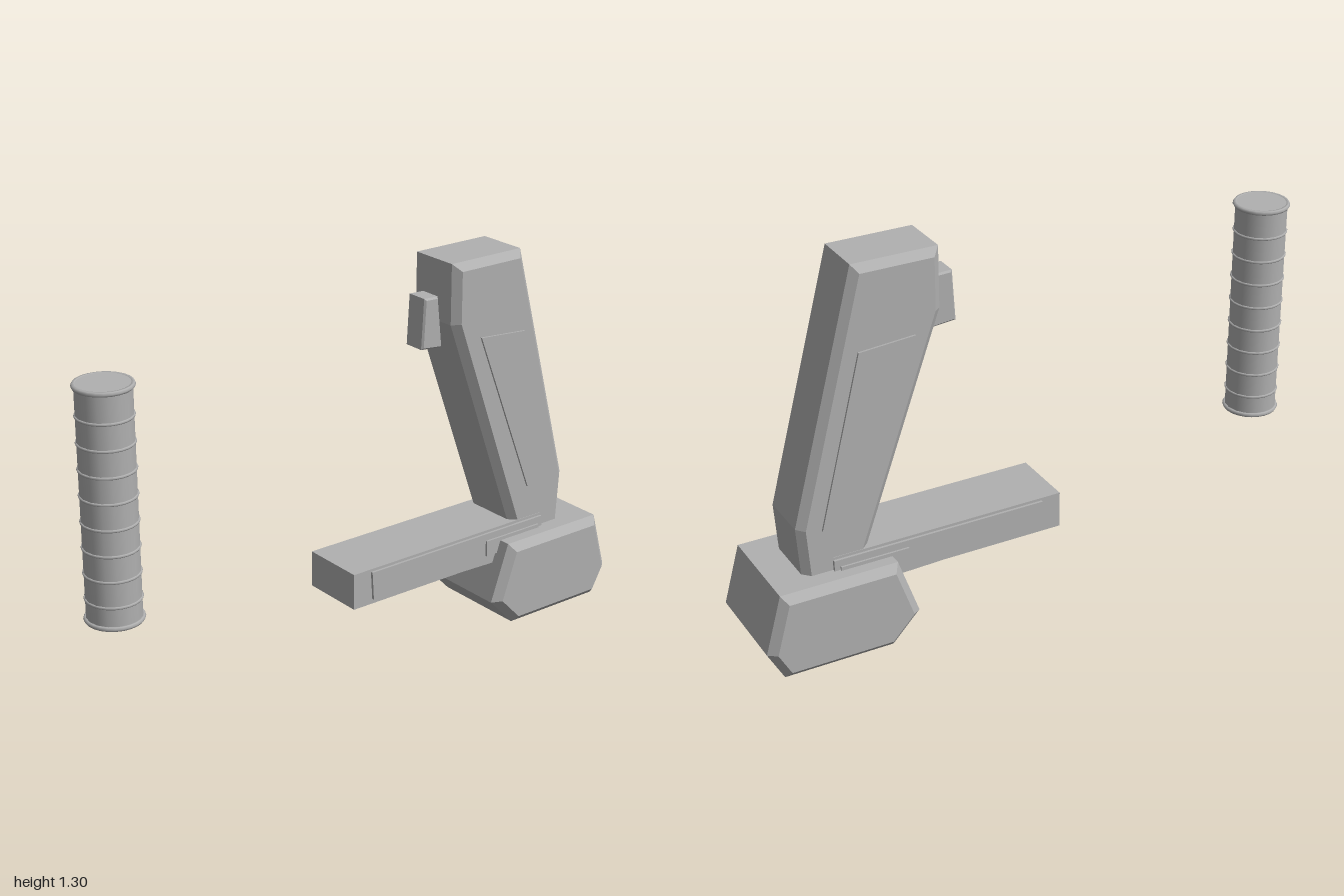
import * as THREE from 'three';

const grey = new THREE.MeshStandardMaterial({ color: 0xb0b0b0 });
grey.name = 'grey';

// Side profile given as [z, y] points, extruded across x with chamfered edges.
function slab(name, points, width, bevel = 0, x = 0) {
  const shape = new THREE.Shape(points.map(([z, y]) => new THREE.Vector2(z, y)));
  const depth = width - 2 * bevel;
  const geometry = new THREE.ExtrudeGeometry(shape, {
    depth, bevelEnabled: bevel > 0, bevelThickness: bevel,
    bevelSize: bevel, bevelOffset: -bevel, bevelSegments: 1,
  });
  geometry.translate(0, 0, -depth / 2).rotateY(-Math.PI / 2);
  const mesh = new THREE.Mesh(geometry, grey);
  mesh.name = name;
  mesh.position.x = x;
  return mesh;
}

export function createModel() {
  const model = new THREE.Group();
  model.name = 'model';

  // Heavy foot
  model.add(slab('base', [
    [-0.475, 0.10], [-0.57, 0], [-0.945, 0], [-1, 0.10], [-0.945, 0.30], [-0.545, 0.30],
  ], 0.39, 0.026));

  // Leaning column
  model.add(slab('column', [
    [-0.34, 1.305], [-0.34, 1.10], [-0.645, 0.25], [-0.835, 0.25], [-0.85, 0.465], [-0.63, 1.305],
  ], 0.224, 0.025));

  // Forward arm
  model.add(slab('arm', [
    [0.072, 0.345], [0.072, 0.22], [-0.74, 0.22], [-0.74, 0.345],
  ], 0.228));

  // Small lug on the column's front
  model.add(slab('lug', [
    [-0.27, 1.19], [-0.26, 1.02], [-0.345, 1.012], [-0.326, 1.188],
  ], 0.085, 0.006));

  // Thin side panels, mirrored
  for (const [side, s] of [['left', 1], ['right', -1]]) {
    model.add(slab(side + 'ColumnPanel', [
      [-0.44, 1.047], [-0.63, 1.033], [-0.775, 0.457], [-0.665, 0.467],
    ], 0.007, 0, s * 0.1235));
    model.add(slab(side + 'ArmPanel', [
      [0.003, 0.336], [-0.003, 0.237], [-0.74, 0.215], [-0.74, 0.336],
    ], 0.009, 0, s * 0.1185));
    model.add(slab(side + 'ArmPlate', [
      [-0.485, 0.312], [-0.485, 0.257], [-0.72, 0.257], [-0.72, 0.312],
    ], 0.008, 0, s * 0.126));
  }

  // Separate ribbed grip
  const grip = new THREE.Group();
  grip.name = 'grip';
  grip.position.z = 0.9;
  const body = new THREE.Mesh(new THREE.CylinderGeometry(0.087, 0.087, 0.76, 16), grey);
  body.name = 'gripBody';
  body.position.y = 0.783;
  grip.add(body);
  const ring = (name, y, radius, tube) => {
    const mesh = new THREE.Mesh(new THREE.TorusGeometry(radius, tube, 6, 24), grey);
    mesh.name = name;
    mesh.rotation.x = Math.PI / 2;
    mesh.position.y = y;
    grip.add(mesh);
  };
  for (let i = 0; i < 8; i++) ring('gripRib', 1.064 - i * 0.0838, 0.086, 0.005);
  ring('topRim', 1.157, 0.087, 0.008);
  ring('bottomRim', 0.409, 0.087, 0.008);
  model.add(grip);

  return model;
}
